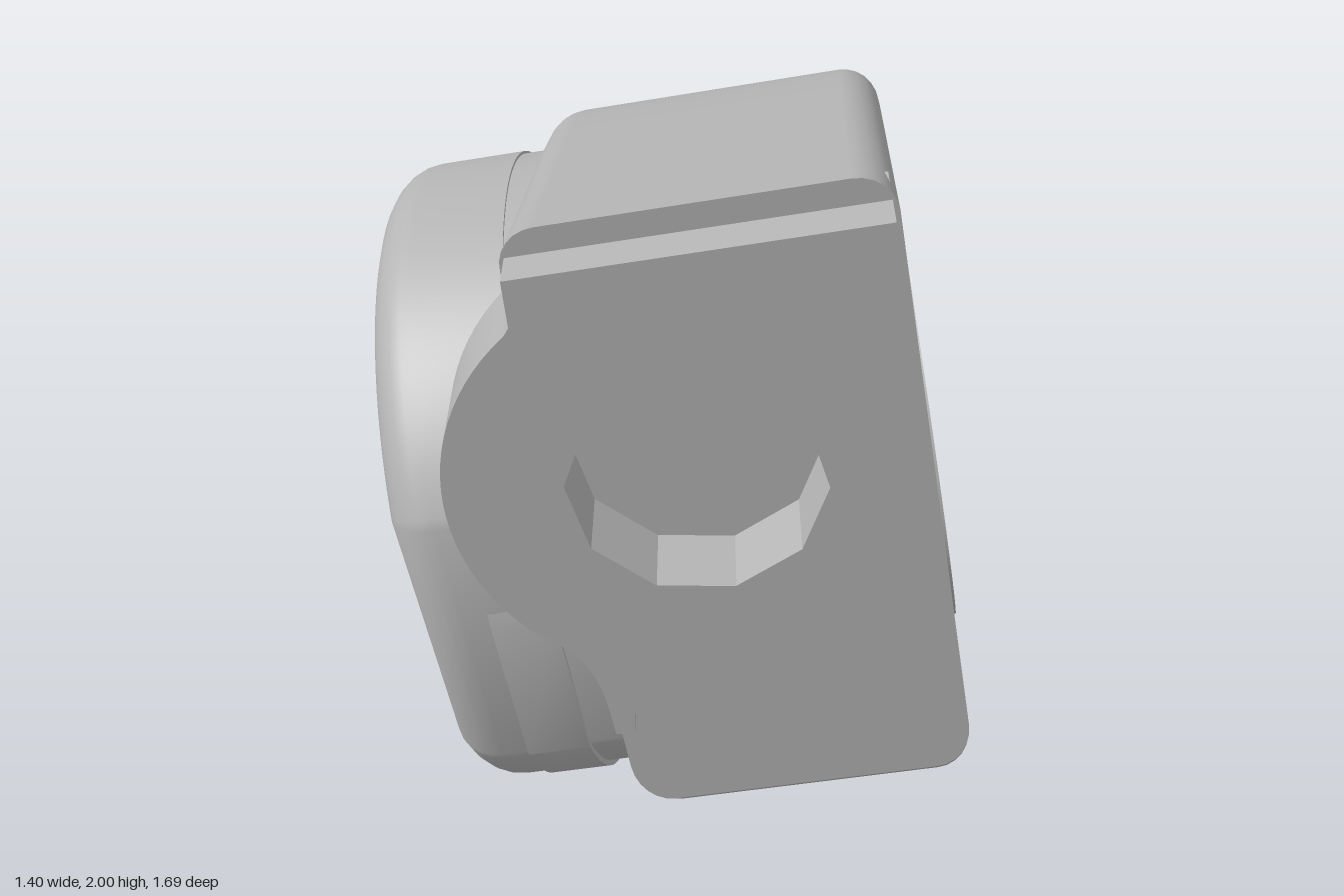
import * as THREE from 'three';
import { toCreasedNormals } from 'three/addons/utils/BufferGeometryUtils.js';

const TILT = THREE.MathUtils.degToRad(10);
const FRONT = 0.76, LEFT = -0.03, RIGHT = 0.72, R = 0.08;
const HOLE = { x: 0.02, y: 1.365, r: 0.26 }; // front recess, in untilted axes

export function createModel() {
  const grey = new THREE.MeshStandardMaterial({ color: 0xb4b4b4, side: THREE.DoubleSide });
  grey.name = 'grey';
  const model = new THREE.Group();
  model.name = 'model';
  const tilted = new THREE.Group();
  tilted.name = 'tiltedHousing';
  tilted.rotation.z = TILT;
  model.add(tilted);

  const add = (name, geo, parent = tilted) => {
    const mesh = new THREE.Mesh(geo, grey);
    mesh.name = name;
    parent.add(mesh);
    return mesh;
  };
  const extrude = (shape, depth, extra = {}) =>
    new THREE.ExtrudeGeometry(shape, { depth, bevelEnabled: false, curveSegments: 32, ...extra });
  const circle = (x, y, r) => new THREE.Shape().absarc(x, y, r, 0, Math.PI * 2, false);
  const decagon = (turn) => new THREE.Path(Array.from({ length: 10 }, (_, i) => {
    const t = Math.PI * (0.4 + i * 0.2);
    return new THREE.Vector2(HOLE.x + HOLE.r * Math.cos(t), HOLE.y + HOLE.r * Math.sin(t))
      .rotateAround(new THREE.Vector2(), -turn);
  }));

  // Main housing: teardrop side profile (z, y) lofted across x with rounded rims
  const curve = new THREE.SplineCurve([
    [0.76, 0.43], [0.6, 0.27], [0.4, 0.11], [0.2, 0.02], [0, -0.01], [-0.2, 0.015],
    [-0.4, 0.09], [-0.6, 0.23], [-0.75, 0.43], [-0.825, 0.65], [-0.84, 0.8], [-0.8, 1.02],
    [-0.7, 1.25], [-0.6, 1.39], [-0.4, 1.57], [-0.2, 1.68], [0, 1.745], [0.38, 1.83], [0.76, 1.916],
  ].map((p) => new THREE.Vector2(...p)));
  const N = 90, STEPS = 6;
  const rings = [];
  for (let k = 0; k <= STEPS; k++) {
    const t = (k / STEPS) * Math.PI / 2;
    rings.push([LEFT + R * (1 - Math.cos(t)), R * (1 - Math.sin(t))]);
  }
  rings.push(...rings.map(([x, d]) => [LEFT + RIGHT - x, d]).reverse());
  const sections = rings.map(([, d]) => Array.from({ length: N + 1 }, (_, i) => {
    const p = curve.getPoint(i / N), t = curve.getTangent(i / N);
    p.x += t.y * d;
    p.y -= t.x * d;
    if (i === 0 || i === N) p.addScaledVector(t, (FRONT - p.x) / t.x);
    return p;
  }));
  const pos = [], idx = [];
  sections.forEach((s, k) => s.forEach((p, i) => {
    pos.push(rings[k][0], p.y, p.x);
    if (k < rings.length - 1 && i < N) {
      const a = k * (N + 1) + i, b = a + N + 1;
      idx.push(a, a + 1, b, b, a + 1, b + 1);
    }
  }));
  const rim = new THREE.BufferGeometry();
  rim.setAttribute('position', new THREE.Float32BufferAttribute(pos, 3));
  rim.setIndex(idx);
  rim.computeVertexNormals();
  add('housingRim', rim);

  // Flat sides and front of the housing
  const side = sections[0];
  add('housingInnerSide', new THREE.ShapeGeometry(new THREE.Shape(side))
    .rotateY(-Math.PI / 2).translate(LEFT, 0, 0));
  const outer = new THREE.Shape(side.map((p) => new THREE.Vector2(-p.x, p.y)));
  outer.holes.push(circle(0.04, 0.84, 0.4));
  add('housingOuterSide', new THREE.ShapeGeometry(outer).rotateY(Math.PI / 2).translate(RIGHT, 0, 0));
  const ends = (i) => sections.map((s, k) => new THREE.Vector2(rings[k][0], s[i].y));
  const front = new THREE.Shape([...ends(0), ...ends(N).reverse()]);
  front.holes.push(decagon(TILT));
  add('housingFront', new THREE.ShapeGeometry(front).translate(0, 0, FRONT));

  // Front plate with round bulge, wavy lower edge and ten-sided recess
  const plate = new THREE.Shape();
  plate.moveTo(0.375, 1.955);
  plate.lineTo(-0.34, 1.83);
  plate.lineTo(-0.33, 1.73);
  plate.absarc(HOLE.x, HOLE.y, 0.5, Math.PI * 0.755, Math.PI * 1.26, false);
  plate.splineThru([[-0.23, 0.93], [-0.18, 0.84], [-0.15, 0.71]].map((p) => new THREE.Vector2(...p)));
  plate.lineTo(-0.11, 0.71);
  plate.splineThru([[-0.105, 0.78], [-0.06, 0.83], [0.1, 0.835], [0.2, 0.85], [0.28, 0.885],
    [0.33, 0.85], [0.355, 0.8], [0.39, 0.79]].map((p) => new THREE.Vector2(...p)));
  plate.lineTo(0.56, 0.955);
  plate.holes.push(decagon(0));
  add('frontPlate', toCreasedNormals(extrude(plate, 0.195, { curveSegments: 12 }), 0.5)
    .rotateZ(-TILT).translate(0, 0, 0.65));
  add('frontRecessFloor', new THREE.CircleGeometry(0.28, 24)
    .translate(HOLE.x, HOLE.y, 0.68).rotateZ(-TILT));

  // Round boss on the outer side, its hole half closed by a plug
  const boss = circle(0.04, 0.84, 0.505);
  boss.holes.push(circle(0.04, 0.84, 0.255));
  const onOuter = (geo, x) => geo.rotateY(Math.PI / 2).translate(x, 0, 0);
  add('sideBoss', onOuter(toCreasedNormals(extrude(boss, 0.132), 0.5), 0.6));
  const plug = new THREE.Shape().absarc(0.04, 0.84, 0.255, Math.PI / 2, Math.PI * 1.5, false);
  add('bossPlug', onOuter(toCreasedNormals(extrude(plug, 0.128), 0.5), 0.6));
  add('bossHoleFloor', onOuter(new THREE.CircleGeometry(0.27, 32).translate(0.04, 0.84, 0), 0.605));

  // Flat-sided drum on the inner side: rounded cap and slightly smaller neck
  const CZ = -0.05, CY = 0.835, DR = 0.755, A = Math.acos(0.68 / DR), SEAM = -0.137;
  const drum = (r) => {
    const a = Math.acos((0.68 - DR + r) / r);
    return new THREE.Shape()
      .absarc(CZ, CY, r, a, Math.PI - a, false)
      .absarc(CZ, CY, r, Math.PI + a, 2 * Math.PI - a, false);
  };
  const onInner = (geo, x) => geo.rotateY(-Math.PI / 2).translate(x, 0, 0);
  const cap = onInner(extrude(drum(DR), 0.3, {
    bevelEnabled: true, bevelThickness: 0.11, bevelSize: 0.11, bevelOffset: -0.11, bevelSegments: 6,
  }), -0.04);
  const cp = cap.attributes.position;
  for (let i = 0; i < cp.count; i++) cp.setX(i, Math.min(cp.getX(i), SEAM)); // trim flat at the seam
  add('drumCap', toCreasedNormals(cap, 0.6));
  add('drumNeck', toCreasedNormals(onInner(extrude(drum(DR - 0.006), 0.25), 0.1), 0.6));

  // Thin latch strip wrapping the lower front of the drum
  const strip = new THREE.Shape();
  strip.moveTo(0.6, 0.92);
  strip.absarc(CZ, CY, DR - 0.04, -A, -Math.PI / 2, true);
  strip.absarc(CZ, CY, DR + 0.007, -Math.PI / 2, -A, false);
  strip.lineTo(0.637, 0.88);
  strip.lineTo(0.63, 0.92);
  add('latchStrip', toCreasedNormals(onInner(extrude(strip, 0.143), SEAM), 0.6));

  return model;
}
